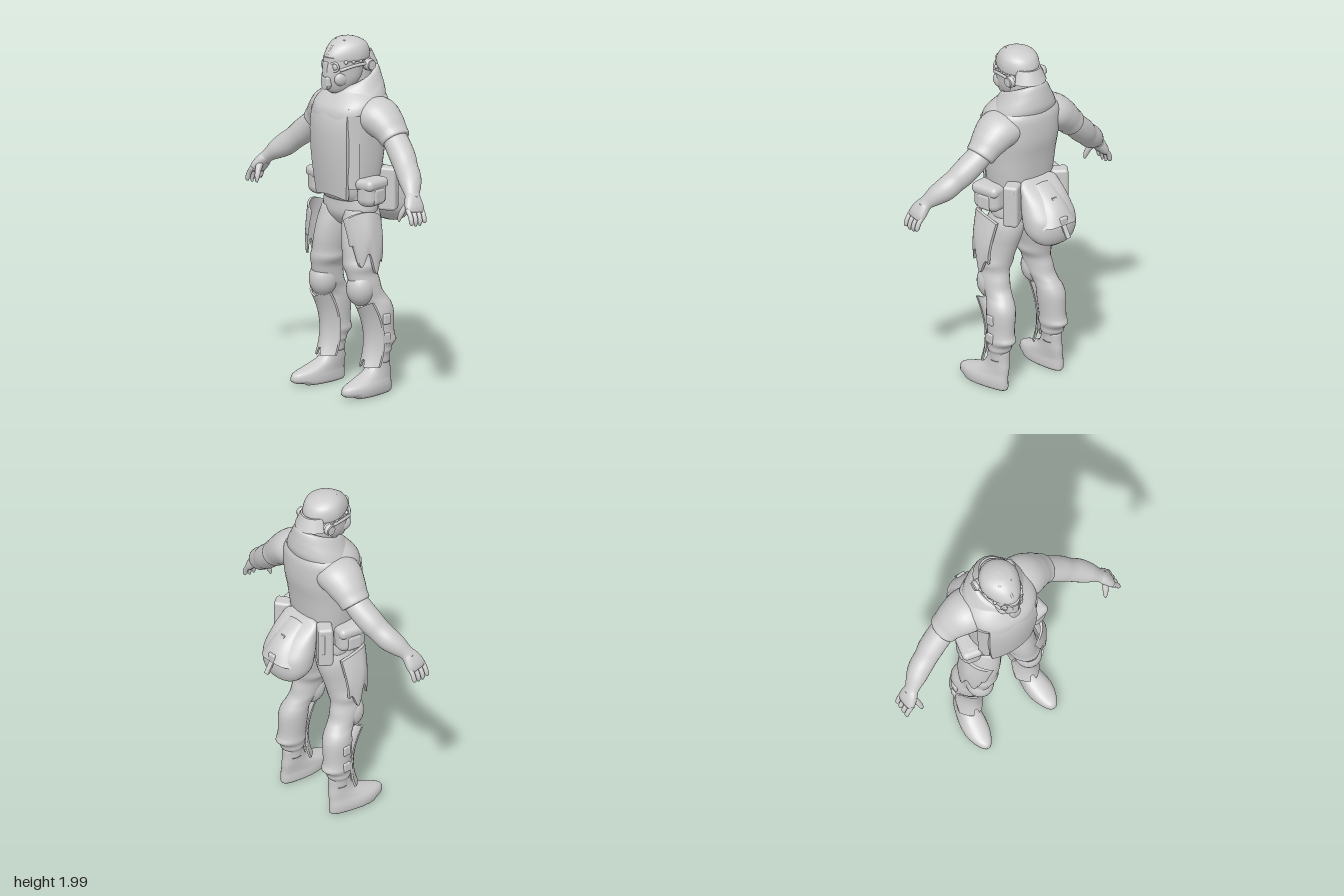
import * as THREE from 'three';
import { mergeVertices } from 'three/addons/utils/BufferGeometryUtils.js';
import { RoundedBoxGeometry } from 'three/addons/geometries/RoundedBoxGeometry.js';

const V = (x, y, z) => new THREE.Vector3(x, y, z);

// Closed skin through rows [x, y, z, rx, rz]; rings are level, or square to the path.
function loft(rows, { along = false, segs = 28, steps = 4, pow = 1, warp } = {}) {
  const path = new THREE.CatmullRomCurve3(rows.map(r => V(r[0], r[1], r[2])), false, 'catmullrom', 0.5);
  const size = new THREE.CatmullRomCurve3(rows.map(r => V(r[3], r[4], 0)), false, 'catmullrom', 0.5);
  const n = (rows.length - 1) * steps, pos = [], idx = [];
  const bend = a => Math.sign(a) * Math.abs(a) ** pow;
  const put = p => { if (warp) warp(p); pos.push(p.x, p.y, p.z); };
  for (let i = 0; i <= n; i++) {
    const c = path.getPoint(i / n), s = size.getPoint(i / n);
    const t = along ? path.getTangent(i / n) : V(0, 1, 0);
    const u = t.clone().cross(V(0, 0, 1)).normalize(), v = u.clone().cross(t);
    for (let j = 0; j < segs; j++) {
      const a = j / segs * Math.PI * 2;
      put(c.clone().addScaledVector(u, bend(Math.cos(a)) * Math.max(s.x, 0.001))
        .addScaledVector(v, bend(Math.sin(a)) * Math.max(s.y, 0.001)));
      if (i < n) {
        const A = i * segs + j, B = i * segs + (j + 1) % segs;
        idx.push(A, A + segs, B, B, A + segs, B + segs);
      }
    }
  }
  const base = (n + 1) * segs;
  put(path.getPoint(0)); put(path.getPoint(1));
  for (let j = 0; j < segs; j++) {
    const k = (j + 1) % segs;
    idx.push(base, j, k, base + 1, n * segs + k, n * segs + j);
  }
  const g = new THREE.BufferGeometry();
  g.setAttribute('position', new THREE.Float32BufferAttribute(pos, 3));
  g.setIndex(idx);
  g.computeVertexNormals();
  return g;
}

// Level rows given as [y, rx, zBack, zFront].
const body = (rows, opts) =>
  loft(rows.map(([y, rx, b, f]) => [0, y, (b + f) / 2, rx, (f - b) / 2]), { segs: 40, ...opts });

// Bent plate: u -1..1 across, v 0..1 up, w -.5..5 through.
function plate(fn, nu = 14, nv = 14) {
  const g = new THREE.BoxGeometry(2, 1, 1, nu, nv, 1), p = g.attributes.position;
  for (let i = 0; i < p.count; i++) p.setXYZ(i, ...fn(p.getX(i), p.getY(i) + 0.5, p.getZ(i)));
  g.computeVertexNormals();
  return g;
}

const ball = (x, y, z, a, b, c) => new THREE.SphereGeometry(1, 24, 16).scale(a, b, c).translate(x, y, z);
const block = (x, y, z, w, h, d, r = 0.01, turn = 0) =>
  new RoundedBoxGeometry(w, h, d, 4, r).rotateY(turn).translate(x, y, z);
const tube = (points, r) => new THREE.TubeGeometry(new THREE.CatmullRomCurve3(points), 24, r, 8);

export function createModel() {
  const root = new THREE.Group();
  const grey = new THREE.MeshStandardMaterial({ color: 0xcccccc });
  grey.name = 'plain grey';
  const add = (name, g) => {
    const m = new THREE.Mesh(g, grey);
    m.name = name;
    root.add(m);
  };
  const pair = (name, g) => {
    add(name + 'Left', g);
    const f = g.index ? g.clone() : mergeVertices(g);
    f.scale(-1, 1, 1);
    const ix = f.index.array;
    for (let i = 0; i < ix.length; i += 3) [ix[i], ix[i + 1]] = [ix[i + 1], ix[i]];
    add(name + 'Right', f);
  };

  // Torso and vest
  add('torso', body([[1.09, .15, -.02, .205], [1.13, .165, -.04, .235], [1.2, .18, -.055, .245], [1.3, .192, -.07, .258],
    [1.4, .2, -.085, .272], [1.5, .208, -.105, .279], [1.6, .212, -.108, .274], [1.66, .195, -.1, .235], [1.72, .12, -.07, .18]], { pow: .85 }));
  add('vestPanel', plate((u, v, w) => {
    const y = 1.125 + v * .5 - .02 * u * u * (1 - v);
    const x = u * (.125 + .03 * Math.sin(v * Math.PI * .75));
    return [x, y, .243 + .04 * Math.sin(v * 1.9) - 1.75 * x * x - .03 * v ** 8 + w * .02];
  }));
  pair('vestSide', plate((u, v, w) => {
    const a = .66 - u * .2, r = 1 + w * .05, grow = .02 * v;
    return [.004 + (.19 + grow) * r * Math.cos(a) ** .83, 1.17 + v * .42, .09 + (.162 + grow) * r * Math.sin(a) ** .83];
  }));

  // Wide cowl, lower at the front
  const slope = p => { p.y -= p.z * .45; };
  add('collar', body([[1.6, .17, -.085, .2], [1.65, .195, -.103, .25], [1.7, .182, -.1, .255], [1.74, .158, -.094, .24],
    [1.78, .135, -.086, .215], [1.8, .12, -.075, .195], [1.8, .1, -.05, .17], [1.75, .085, -.03, .15]], { warp: slope }));
  add('neck', body([[1.68, .075, -.04, .15], [1.88, .085, -.045, .14]]));

  // Masked head, narrowing towards the face
  const snout = p => { p.x *= 1 - 1.7 * Math.max(0, p.z - .1); };
  add('mask', body([[1.695, .035, .13, .225], [1.715, .065, .09, .25], [1.77, .092, .03, .272], [1.83, .1, .005, .275],
    [1.88, .106, -.01, .262], [1.92, .1, -.01, .24], [1.95, .08, .02, .2]], { warp: snout }));
  add('helmet', body([[1.875, .108, -.022, .256], [1.89, .114, -.026, .262], [1.925, .113, -.02, .248], [1.96, .1, 0, .218],
    [1.985, .07, .04, .18], [1.998, .025, .08, .14]], { warp: snout }));
  add('neckBrim', plate((u, v, w) => {
    const a = u * 1.15, r = .135 - .035 * v;
    return [-r * Math.sin(a) * .85, 1.835 + v * .075, .06 - r * Math.cos(a) - w * .012];
  }));
  add('browRidge', plate((u, v, w) => [u * .085, 1.878 + v * .025 - .012 * u * u, .262 - .1 * u * u + w * .022]));
  add('crest', tube([V(0, 1.91, .25), V(0, 1.955, .215), V(0, 1.99, .12), V(0, 1.955, .01)], .008));
  add('noseBridge', block(0, 1.835, .264, .035, .09, .026));
  add('muzzle', block(0, 1.765, .258, .065, .06, .04, .014));
  add('breathingFilter', new THREE.CylinderGeometry(.024, .028, .03, 20).rotateX(Math.PI / 2).translate(0, 1.745, .262));
  pair('goggle', new THREE.TorusGeometry(.024, .007, 8, 20).rotateY(.5).translate(.045, 1.85, .242));
  pair('lens', ball(.044, 1.85, .238, .022, .02, .012));
  pair('cheek', ball(.055, 1.78, .2, .026, .04, .045));
  pair('earCup', new THREE.CylinderGeometry(.026, .033, .04, 24).rotateZ(-Math.PI / 2).translate(.112, 1.845, .04));
  pair('earCushion', ball(.113, 1.845, .04, .02, .034, .034));
  pair('maskStrap', tube([V(.07, 1.83, .225), V(.098, 1.85, .15), V(.108, 1.855, .07)], .009));
  for (let i = 0; i < 3; i++) pair('maskStud' + i, ball(.085 + i * .009, 1.875, .19 - i * .045, .011, .011, .011));
  pair('topClip', block(.03, 1.982, .15, .022, .016, .03, .005));

  // Sleeves and forearms
  pair('sleeve', loft([[.1, 1.585, .06, .09, .13], [.19, 1.57, .05, .105, .13], [.255, 1.53, .043, .094, .112],
    [.3, 1.49, .04, .08, .095], [.328, 1.462, .04, .076, .088], [.332, 1.458, .04, .06, .07]], { along: true }));
  pair('arm', loft([[.27, 1.51, .04, .06, .07], [.34, 1.45, .045, .066, .074], [.42, 1.378, .065, .07, .073], [.47, 1.333, .085, .064, .067],
    [.52, 1.292, .105, .065, .066], [.565, 1.258, .132, .055, .058], [.605, 1.222, .158, .037, .044], [.63, 1.195, .17, .032, .045]], { along: true }));

  // Hands
  pair('palm', loft([[.605, 1.222, .16, .03, .036], [.63, 1.195, .172, .032, .05], [.655, 1.158, .183, .028, .06],
    [.67, 1.13, .188, .018, .056]], { along: true, pow: .85 }));
  for (let i = 0; i < 4; i++) {
    const z = .14 + i * .031, drop = [.012, 0, 0, .01][i];
    pair('finger' + i, loft([[.655, 1.155, z, .014, .015], [.682, 1.118, z + .002, .014, .014],
      [.693, 1.085, z + .004, .013, .013], [.69, 1.062 + drop, z + .005, .006, .006]], { along: true, segs: 10 }));
  }
  pair('thumb', loft([[.63, 1.18, .2, .02, .022], [.615, 1.145, .228, .016, .017], [.605, 1.11, .243, .014, .014],
    [.601, 1.08, .25, .006, .006]], { along: true, segs: 12 }));

  // Trousers with soft folds
  add('pelvis', body([[.93, .03, .05, .13], [.96, .1, .0, .17], [1.01, .172, -.025, .198], [1.08, .175, -.035, .2],
    [1.15, .155, -.03, .2]], { pow: .9 }));
  add('belt', body([[1.1, .16, -.04, .2], [1.105, .182, -.05, .206], [1.15, .184, -.055, .21], [1.155, .16, -.04, .2]], { pow: .9 }));
  pair('trouserLeg', loft([[.19, .18, .04, .05, .058], [.19, .225, .04, .054, .06], [.189, .245, .038, .063, .07],
    [.188, .27, .035, .064, .074], [.187, .3, .026, .072, .094], [.186, .33, .028, .07, .086], [.184, .37, .032, .07, .086],
    [.18, .46, .036, .076, .09], [.175, .51, .044, .074, .084], [.167, .55, .07, .068, .086], [.16, .59, .095, .072, .083],
    [.155, .64, .118, .074, .095], [.147, .69, .13, .075, .096], [.138, .735, .132, .092, .104], [.13, .78, .125, .086, .107],
    [.118, .85, .115, .09, .116], [.108, .92, .1, .095, .122], [.1, .98, .09, .094, .118], [.095, 1.04, .088, .075, .105]], { segs: 24 }));
  pair('kneePad', ball(.158, .605, .148, .077, .1, .082));

  // Notched plates on thighs and shins
  pair('thighPlate', plate((u, v, w) => {
    const a = u * (1.05 - .25 * (1 - v)), tooth = (1 - v) * (.05 * Math.cos(u * 7) - .05 * u);
    return [.115 + (.118 + .03 * Math.sin((1 - v) * 2.3)) * Math.cos(a - .3) + w * .018,
      .77 + v * .28 + tooth - v * .05 * u * u, .13 - .125 * Math.sin(a - .3)];
  }, 20));
  pair('shinPlate', plate((u, v, w) => {
    const notch = Math.abs(u) < .2 ? .04 : 0, horn = .04 * Math.abs(u);
    const y = .165 + v * .335 + notch * (1 - v) ** 4 + horn * v ** 4;
    return [.185 + u * .077, y, .127 + 1.5 * (y - .31) ** 2 - .06 * u * u + w * .014];
  }, 20));
  [.32, .43].forEach((y, i) => pair('shinBuckle' + i, block(.252, y, .04, .024, .06, .05, .01)));

  // Boots, waisted at the arch and turned slightly out
  const bootShape = p => {
    p.x = .2 + (p.x - .2 + (p.z - .1) * .05) * (1 - .12 * Math.cos(p.z * 17));
    if (p.y < .03 && p.z > .25) p.y += .012;
  };
  pair('boot', loft([[.203, .008, .14, .05, .165], [.204, .02, .145, .062, .178], [.205, .05, .147, .065, .18], [.204, .075, .139, .062, .17],
    [.2, .1, .105, .057, .135], [.196, .135, .062, .053, .092], [.193, .18, .045, .052, .07], [.191, .235, .04, .055, .064]],
  { pow: .9, warp: bootShape }));

  // Hip and rear pouches
  pair('hipPouch', block(.203, 1.155, .105, .115, .16, .17, .045, .2));
  pair('hipPouchFlap', block(.206, 1.2, .107, .12, .065, .176, .03, .2));
  pair('hipPouchPocket', block(.24, 1.135, .1, .055, .1, .1, .025, .2));
  pair('rearPouch', block(.168, 1.145, -.045, .1, .245, .085, .018, .6));
  pair('rearPouchTab', block(.19, 1.17, -.078, .03, .13, .02, .006, .6));

  // Large slung bag and its hanging strap
  add('backBag', body([[.92, .06, -.235, -.165], [.945, .115, -.263, -.115], [1.0, .152, -.28, -.06], [1.07, .157, -.274, -.04],
    [1.13, .15, -.235, -.03], [1.19, .138, -.18, -.03], [1.25, .122, -.1, -.03], [1.272, .085, -.075, -.04]], { pow: .9 }));
  add('bagFlap', plate((u, v, w) => [-u * (.135 - .03 * v), 1.06 + v * .19 - .02 * u * u,
    -.292 + v * .19 + .06 * u ** 4 - .035 * Math.sin(v * 3.1) * (1 - u * u) + .02 * u * u - w * .015]));
  add('bagStrap', plate((u, v, w) => [-u * .015, .99 + v * .2, -.325 + v * .125 - w * .012], 2, 6));
  add('bagBuckle', block(0, 1.08, -.285, .05, .045, .025, .008));

  return root;
}
